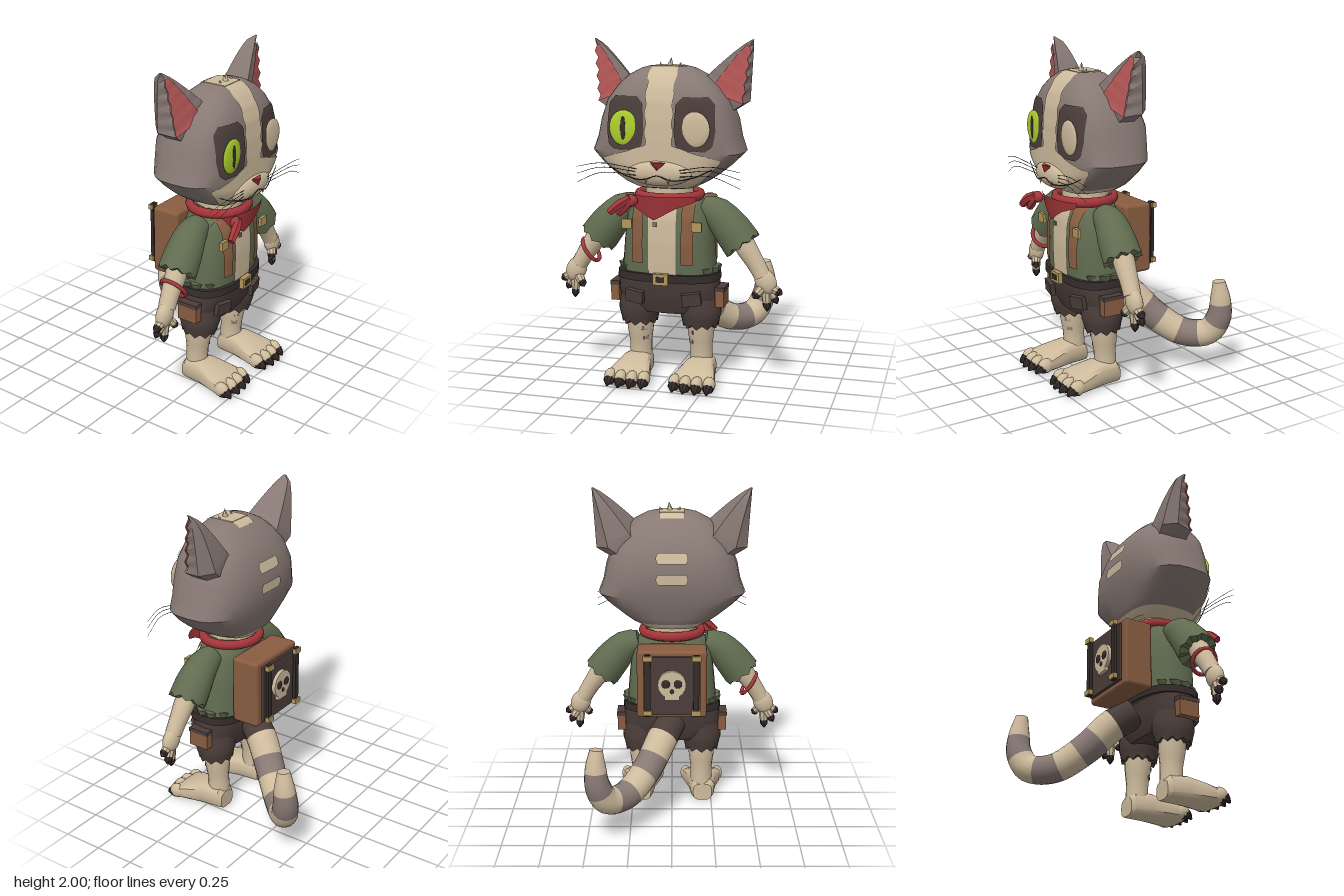
import * as THREE from 'three';
import { toCreasedNormals } from 'three/addons/utils/BufferGeometryUtils.js';
import { RoundedBoxGeometry } from 'three/addons/geometries/RoundedBoxGeometry.js';

const V = (x, y, z) => new THREE.Vector3(x, y, z);
const mat = (name, color) => Object.assign(new THREE.MeshStandardMaterial({ color }), { name });

// Linear interpolation in a table whose first column is the key
function interp(table, k, col = 1) {
  if (k <= table[0][0]) return table[0][col];
  for (let i = 1; i < table.length; i++) {
    const a = table[i - 1], b = table[i];
    if (k <= b[0]) return a[col] + (b[col] - a[col]) * (k - a[0]) / (b[0] - a[0]);
  }
  return table[table.length - 1][col];
}

// Capped skin over rings; matOf(row) gives a material index per row
function loft(rings, matOf) {
  const n = rings[0].length, rows = rings.length - 1, idx = [], geo = new THREE.BufferGeometry();
  const pts = rings.flat();
  const mid = r => r.reduce((s, p) => s.add(p), V(0, 0, 0)).divideScalar(n);
  pts.push(mid(rings[0]), mid(rings[rows]));
  for (let i = 0; i < rows; i++) {
    const start = idx.length;
    for (let j = 0; j < n; j++) {
      const k = (j + 1) % n, a = i * n + j, b = i * n + k;
      idx.push(a, a + n, b, b, a + n, b + n);
      if (i === 0) idx.push(rings.length * n, j, k);
      if (i === rows - 1) idx.push(rings.length * n + 1, b + n, a + n);
    }
    if (matOf) geo.addGroup(start, idx.length - start, matOf(i));
  }
  geo.setFromPoints(pts).setIndex(idx);
  return toCreasedNormals(geo, 0.55);
}

// Tube of changing radius through [x, y, z, r] points; the first ring may be torn
function limb(pts, n = 12, seg = 8, torn = 0, matOf) {
  const curve = new THREE.CatmullRomCurve3(pts.map(p => V(p[0], p[1], p[2])));
  const f = curve.computeFrenetFrames(seg), rings = [];
  const radii = pts.map((p, i) => [i, p[3]]);
  for (let i = 0; i <= seg; i++) {
    const r = interp(radii, curve.getUtoTmapping(i / seg) * (pts.length - 1)), c = curve.getPointAt(i / seg);
    rings.push(Array.from({ length: n }, (_, j) => {
      const a = j / n * Math.PI * 2;
      return c.clone().addScaledVector(f.normals[i], Math.cos(a) * r).addScaledVector(f.binormals[i], -Math.sin(a) * r)
        .addScaledVector(f.tangents[i], i === 0 && j % 2 ? -torn : 0);
    }));
  }
  return loft(rings, matOf);
}

// Upright body from [y, halfWidth, zBack, zFront] levels with rounded-square sections
function body(table, nf, nb, n = 28) {
  const zAt = (x, y, front) => {
    const w = interp(table, y, 1), b = interp(table, y, 2), f = interp(table, y, 3), c = (b + f) / 2, e = front ? nf : nb;
    return c + (front ? 1 : -1) * (f - b) / 2 * Math.pow(Math.max(0, 1 - Math.pow(Math.abs(x) / w, e)), 1 / e);
  };
  const rings = table.map(([y, w, b, f]) => Array.from({ length: n }, (_, j) => {
    const a = j / n * Math.PI * 2, c = Math.cos(a), s = Math.sin(a), e = 2 / (s > 0 ? nf : nb);
    return V(w * Math.sign(c) * Math.abs(c) ** e, y, (b + f) / 2 + (f - b) / 2 * Math.sign(s) * Math.abs(s) ** e);
  }));
  return { rings, front: (x, y) => zAt(x, y, true), back: (x, y) => zAt(x, y, false) };
}

// Thin skin hugging a surface between left(y) and right(y)
function patch(y0, y1, left, right, z, off = 0.007, back = false, rows = 16, cols = 12) {
  const geo = new THREE.PlaneGeometry(1, 1, cols, rows), p = geo.attributes.position;
  for (let i = 0; i < p.count; i++) {
    const y = y0 + (p.getY(i) + 0.5) * (y1 - y0), u = p.getX(i) + 0.5, t = back ? 1 - u : u;
    const x = left(y) + (right(y) - left(y)) * t;
    p.setXYZ(i, x, y, z(x, y) + (back ? -off : off));
  }
  geo.computeVertexNormals();
  return geo;
}

export function createModel() {
  const root = new THREE.Group();
  const fur = mat('greyFur', 0x887974), cream = mat('creamFur', 0xcebb9d), dark = mat('darkCloth', 0x4b3e3a);
  const green = mat('greenCloth', 0x616c50), leather = mat('leather', 0x895d41), red = mat('redCloth', 0xa5363a);
  const gold = mat('brass', 0xb2985c), lime = mat('limeEye', 0xb0d030), claw = mat('clawBlack', 0x352c2b), pink = mat('earPink', 0xb75857);
  red.side = pink.side = THREE.DoubleSide;
  const add = (name, geo, m, x = 0, y = 0, z = 0) => {
    const o = new THREE.Mesh(geo, m);
    o.name = name; o.position.set(x, y, z); root.add(o);
    return o;
  };
  const box = (name, m, w, h, d, x, y, z) => add(name, new THREE.BoxGeometry(w, h, d), m, x, y, z);
  const ball = (name, m, rx, ry, rz, x, y, z) => add(name, new THREE.SphereGeometry(1, 20, 14).scale(rx, ry, rz), m, x, y, z);

  // Head with cream underside
  const head = body([[1.165, .17, .04, .37], [1.2, .24, .01, .42], [1.24, .3, -.005, .44], [1.3, .375, -.025, .45], [1.37, .445, -.045, .45],
    [1.45, .415, -.058, .45], [1.55, .395, -.06, .447], [1.66, .355, -.025, .435], [1.74, .295, .02, .41], [1.8, .23, .08, .37],
    [1.84, .155, .13, .33], [1.852, .11, .16, .3]], 3.2, 2.7);
  add('head', loft(head.rings, i => (i ? 0 : 1)), [fur, cream]);
  const side = w => [y => -w(y), w];
  add('foreheadStripe', patch(1.38, 1.852, ...side(y => .08 + .005 * Math.sin(y * 60)), head.front, .007, false, 30), cream);
  add('crownStripe', new THREE.BoxGeometry(.15, .006, .15), cream, 0, 1.852, .23);
  add('crownStripeBack', patch(1.825, 1.852, ...side(() => .07), head.back, .007, true), cream);
  for (const y of [1.462, 1.585]) {
    add('backStripe', patch(y, y + .062, ...side(t => .095 - 14 * (t - y - .031) ** 2), head.back, .01, true), cream);
  }
  const cheek = [[1.17, .15], [1.2, .21], [1.24, .26], [1.3, .32], [1.335, .35], [1.36, .28], [1.385, .18], [1.42, .08]];
  add('muzzlePatch', patch(1.17, 1.42, ...side(y => interp(cheek, y)), head.front, .008, false, 24, 20), cream);
  ball('muzzle', cream, .19, .075, .055, 0, 1.265, .435);
  const nose = add('nose', new THREE.ConeGeometry(.052, .055, 3).rotateY(Math.PI).rotateX(Math.PI), red, 0, 1.3, .485);
  nose.scale.z = .45;
  add('mouth', limb([[-.3, 1.29, .427, .002], [-.2, 1.245, .452, .003], [-.08, 1.23, .487, .003], [0, 1.255, .492, .003],
    [.08, 1.23, .487, .003], [.2, 1.245, .452, .003], [.3, 1.29, .427, .002]], 5, 24), claw);
  for (const [x, h, lean] of [[-.045, .03, .3], [.015, .062, -.1], [.07, .03, -.4]]) {
    add('hairTuft', new THREE.ConeGeometry(h * .4, h, 5), cream, x, 1.85 + h / 3, .25).rotation.z = lean;
  }

  // Eyes, ears, whiskers and fangs
  const ends = [[1.39, .05], [1.42, .012], [1.5, 0], [1.65, .008], [1.69, .045]];
  const base = [V(.18, 1.74, .28), V(.43, 1.64, .22), V(.45, 1.65, .12), V(.38, 1.66, .06), V(.25, 1.73, .07)];
  const tip = V(.475, 2, .16);
  for (const s of [-1, 1]) {
    const inner = y => s * (.087 + interp(ends, y)), outer = y => s * (.315 - interp(ends, y));
    add('eyeSocket', patch(1.39, 1.69, s < 0 ? outer : inner, s < 0 ? inner : outer, head.front, .006, false, 24), dark);
    ball('eye', s < 0 ? lime : cream, .085, .1, .016, s * .207, 1.513, .443);
    if (s < 0) ball('pupil', claw, .015, .068, .005, s * .207, 1.513, .458);

    // Ear narrows to a blunt tip and has a torn outer edge
    const rings = [base.map(p => V(s * p.x * .82, p.y - .05, p.z))], lining = [];
    for (let i = 0; i <= 10; i++) {
      const t = i / 10, w = (1 - t) ** .85 + .03, torn = i % 2;
      const ring = base.map((p, j) => {
        const q = tip.clone().lerp(p, w * (j === 1 && torn ? .86 : 1));
        if (j > 1) q.z = tip.z + (p.z - tip.z) * ((1 - t) ** .4 + .1);
        return V(s * (q.x - (j === 1 && torn ? .02 : 0)), p.y + (2 - p.y) * t, q.z);
      });
      const d = V(s * .004, 0, .008);
      if (i < 10) lining.push(ring[0].clone().lerp(ring[1], .27).add(d), ring[1].clone().add(d));
      rings.push(ring);
    }
    if (s > 0) rings.forEach(r => r.reverse());
    add('ear', loft(rings), fur);
    const inside = new THREE.BufferGeometry().setFromPoints(lining), idx = [];
    for (let a = 0; a < lining.length - 2; a += 2) {
      if (s > 0) idx.push(a, a + 1, a + 2, a + 1, a + 3, a + 2); else idx.push(a, a + 2, a + 1, a + 1, a + 2, a + 3);
    }
    inside.setIndex(idx); inside.computeVertexNormals();
    add('earLining', inside, pink);
    for (const y of [1.2, 1.25, 1.29]) add('whisker', limb([[s * .12, 1.27 + (y - 1.25) * .4, .47, .002],
      [s * .32, 1.295 + (y - 1.25) * .6, .51, .0018], [s * .475, y, .485, .001]], 4, 8), claw);
    add('fang', new THREE.ConeGeometry(.011, .035, 6).rotateX(Math.PI), cream, s * .065, 1.222, .482);
  }

  // Neck, jacket, chest and straps
  add('neck', new THREE.CylinderGeometry(.14, .14, .14, 16), cream, 0, 1.13, .22);
  const torso = body([[.62, .28, .05, .385], [.7, .275, .05, .39], [.85, .262, .05, .395], [1, .245, .06, .385], [1.08, .2, .08, .36], [1.13, .13, .1, .32]], 2.8, 2.6);
  add('jacket', loft(torso.rings), green);
  add('chest', patch(.66, 1.12, ...side(() => .082), torso.front), cream);
  box('chestMark', fur, .02, .025, .006, -.04, .96, .404);
  for (const s of [-1, 1]) {
    add('strap', patch(.73, 1.09, () => s * .148 - .034, () => s * .148 + .034, torso.front, .016), leather);
    box('strapBuckle', gold, .06, .055, .02, s * .207, .957, .4);
    // Torn jacket hem hanging over the belt at the sides
    for (let i = 0; i < 4; i++) {
      const a = -.6 + i * .4;
      const hem = add('tornHem', new THREE.ConeGeometry(.045, .09, 4).rotateX(Math.PI), green, s * .285 * Math.cos(a), .655, .22 + .16 * Math.sin(a));
      hem.scale.x = .6;
    }
  }

  // Neckerchief with knot and loose ends
  const collar = add('kerchiefCollar', new THREE.TorusGeometry(.18, .026, 8, 28).rotateX(Math.PI / 2), red, 0, 1.112, .225);
  collar.scale.set(1, 1.15, .95);
  add('kerchiefFront', patch(.99, 1.13, y => interp([[.99, -.045], [1.06, -.16], [1.13, -.22]], y), y => interp([[.99, -.035], [1.06, .09], [1.1, .2], [1.13, .205]], y),
    (x, y) => .45 - 1.4 * x * x - .2 * (1.13 - y)), red);
  ball('kerchiefKnot', red, .04, .035, .03, -.165, 1.1, .45);
  add('kerchiefEnd', limb([[-.165, 1.12, .47, .018], [-.22, 1.085, .485, .03], [-.28, 1.035, .495, .022]], 6, 5), red);
  add('kerchiefEnd', limb([[-.165, 1.1, .465, .018], [-.2, 1.06, .472, .028], [-.235, 1.025, .47, .022]], 6, 5), red);

  // Belt and shorts
  const hips = body([[.42, .2, .11, .33], [.47, .285, .09, .35], [.55, .303, .075, .375], [.64, .295, .06, .39]], 2.8, 2.6);
  add('shorts', loft(hips.rings), dark);
  add('belt', loft(body([[.622, .305, .04, .41], [.668, .3, .04, .41]], 2.8, 2.6).rings), claw);
  box('beltBuckle', gold, .09, .065, .03, 0, .645, .42);
  box('beltBuckleGap', claw, .05, .032, .006, 0, .645, .436);
  for (const s of [-1, 1]) {
    const pocket = box('pocket', dark, .11, .075, .03, s * .17, .525, .374);
    pocket.rotation.set(.12, s * .2, s * .1);
    box('pouch', leather, .05, .1, .13, s * .317, .52, .235);
    box('pouchFlap', dark, .056, .025, .135, s * .317, .575, .235);
    add('shortsLeg', limb([[s * .187, .355, .22, .105], [s * .187, .42, .222, .125], [s * .175, .53, .222, .12]], 20, 6, .025), dark);

    // Leg, foot, toes and claws
    add('leg', limb([[s * .187, .08, .2, .068], [s * .187, .2, .205, .066], [s * .187, .3, .21, .08], [s * .187, .42, .215, .085]], 14, 8), cream);
    for (const [x, y, z] of [[.14, .24, .257], [.145, .3, .272]]) box('legMark', fur, .035, .022, .008, s * x, y, z).rotation.y = -s * .75;
    const foot = [[.135, .06, .11], [.16, .075, .14], [.27, .09, .15], [.36, .115, .125], [.44, .132, .1], [.48, .12, .07]];
    add('foot', loft(foot.map(([z, w, h]) => Array.from({ length: 16 }, (_, j) => {
      const a = j / 16 * Math.PI * 2, c = Math.cos(a), n = Math.sin(a);
      return V(s * .195 + w * Math.sign(c) * Math.abs(c) ** .65, h / 2 - h / 2 * Math.sign(n) * Math.abs(n) ** .65, z);
    }))), cream);
    for (let i = 0; i < 4; i++) {
      const x = s * .195 + (i - 1.5) * .068, z = .455 + (i % 3 ? .015 : 0);
      ball('toe', cream, .036, .046, .05, x, .052, z);
      add('toeClaw', limb([[x, .036, z, .033], [x, .038, z + .04, .032], [x, .015, z + .07, .006]], 8, 4), claw);
    }

    // Sleeve, arm, hand and fingers
    add('sleeve', limb([[s * .43, .845, .235, .115], [s * .365, .93, .232, .11], [s * .28, 1.015, .225, .092], [s * .2, 1.04, .22, .07]], 18, 7, .022), green);
    add('forearm', limb([[s * .56, .66, .25, .05], [s * .52, .73, .245, .053], [s * .46, .82, .24, .063], [s * .42, .89, .235, .063]], 12, 6), cream);
    ball('palm', cream, .062, .08, .045, s * .578, .63, .25).rotation.z = s * .45;
    for (const [x, y, z] of [[.675, .56, .25], [.645, .5, .232], [.59, .455, .25], [.515, .535, .29]]) {
      const a = V(.578, .62, .252), at = t => [s * (a.x + (x - a.x) * t), a.y + (y - a.y) * t, a.z + (z - a.z) * t];
      add('finger', limb([[...at(0), .03], [...at(.5), .028], [...at(.78), .023]], 8, 4), cream);
      add('fingerClaw', limb([[...at(.66), .025], [...at(.85), .024], [...at(1), .004]], 8, 4), claw);
    }
  }
  add('bracelet', new THREE.TorusGeometry(.077, .012, 8, 20).rotateX(Math.PI / 2).rotateZ(-.95), red, -.485, .755, .245);

  // Backpack with rear panel, straps and emblem
  add('backpack', new RoundedBoxGeometry(.42, .42, .18, 2, .02), leather, 0, .86, -.018);
  box('packPanel', dark, .34, .36, .018, 0, .86, -.122);
  for (const s of [-1, 1]) {
    box('packStrap', claw, .035, .38, .02, s * .145, .87, -.15);
    for (const y of [.7, 1.04]) box('packStrapEnd', gold, .055, .03, .028, s * .145, y, -.155);
    ball('emblemEye', claw, .025, .026, .006, s * .036, .88, -.155);
  }
  add('emblemFace', new THREE.CylinderGeometry(.085, .085, .022, 20).rotateX(Math.PI / 2), cream, 0, .875, -.142);
  box('emblemJaw', cream, .09, .05, .022, 0, .805, -.142);
  ball('emblemNose', claw, .012, .014, .006, 0, .835, -.155);

  // Banded tail with a dark base
  add('tail', limb([[0, .565, .07, .09], [.06, .49, -.04, .095], [.15, .345, -.17, .09], [.27, .24, -.31, .085], [.38, .255, -.42, .082],
    [.43, .36, -.462, .076], [.44, .48, -.46, .062], [.435, .585, -.45, .038]], 16, 40, 0, i => (i < 5 ? 2 : Math.floor(i / 5) % 2)), [fur, cream, dark]);
  return root;
}
